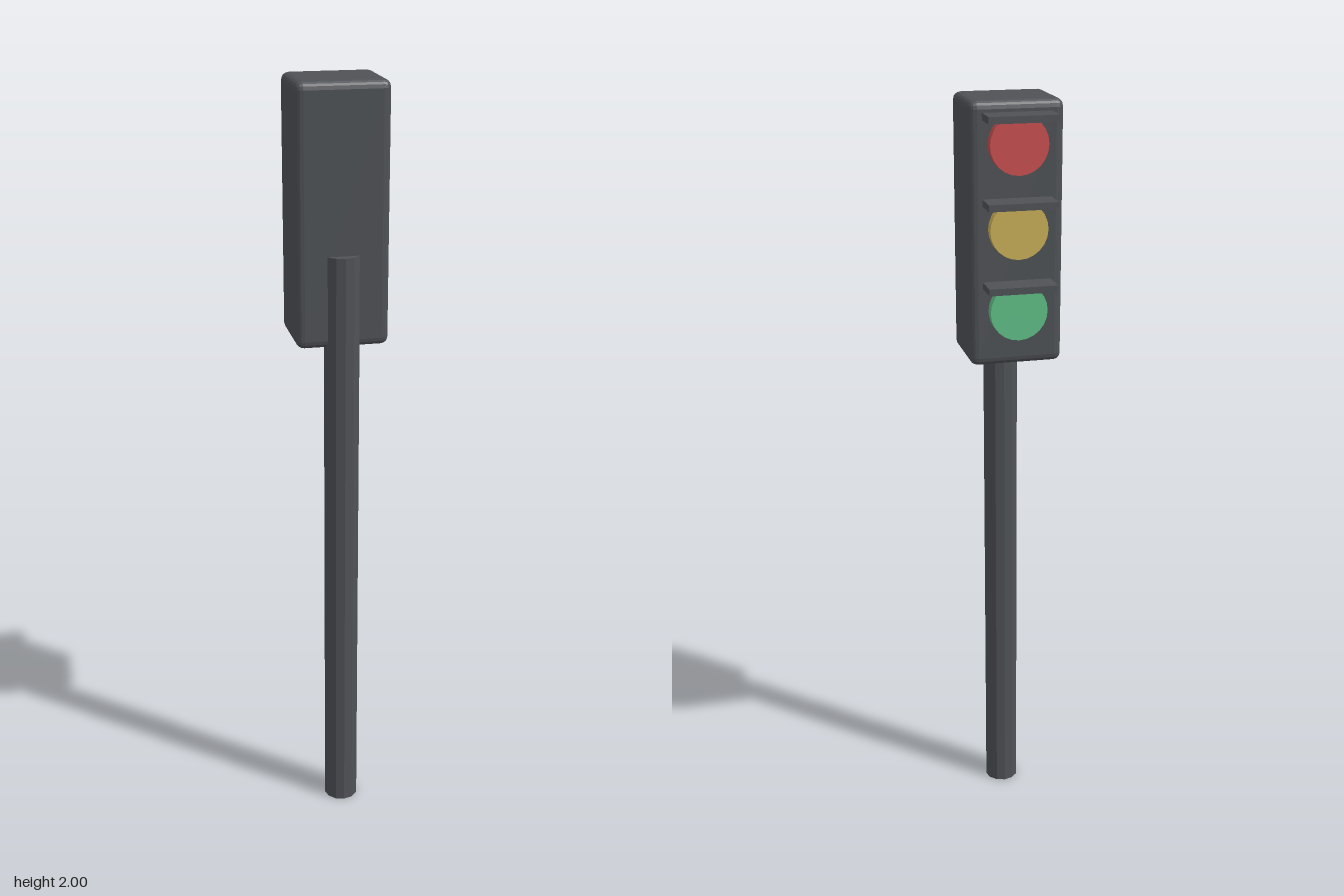
import * as THREE from 'three';
import { RoundedBoxGeometry } from 'three/addons/geometries/RoundedBoxGeometry.js';

const material = (name, color, flatShading = false) => {
  const m = new THREE.MeshStandardMaterial({ color, flatShading });
  m.name = name;
  return m;
};

export function createModel() {
  const model = new THREE.Group();
  model.name = 'trafficLight';
  const charcoal = material('charcoal', 0x4f5256, true);

  const add = (name, geometry, mat, x, y, z) => {
    const mesh = new THREE.Mesh(geometry, mat);
    mesh.name = name;
    mesh.position.set(x, y, z);
    model.add(mesh);
    return mesh;
  };

  // Pole, overlapping the side of the housing opposite the lamps
  add('pole', new THREE.CylinderGeometry(0.046, 0.046, 1.58, 12), charcoal, 0, 0.79, 0.104);

  // Housing with softened edges
  add('housing', new RoundedBoxGeometry(0.236, 0.655, 0.204, 2, 0.02), charcoal, 0, 1.6725, 0.023);

  // Three round lamps, each under a flat visor
  const lamps = [
    ['red', 0xc94f4f, 1.898],
    ['yellow', 0xcbb058, 1.693],
    ['green', 0x60c088, 1.488],
  ];
  for (const [name, color, y] of lamps) {
    const disc = new THREE.CylinderGeometry(0.073, 0.073, 0.035, 24).rotateX(Math.PI / 2);
    add(name + 'Lamp', disc, material(name, color), 0, y, -0.0875);
    add(name + 'Visor', new THREE.BoxGeometry(0.173, 0.017, 0.08), charcoal, 0, y + 0.066, -0.111);
  }

  return model;
}
